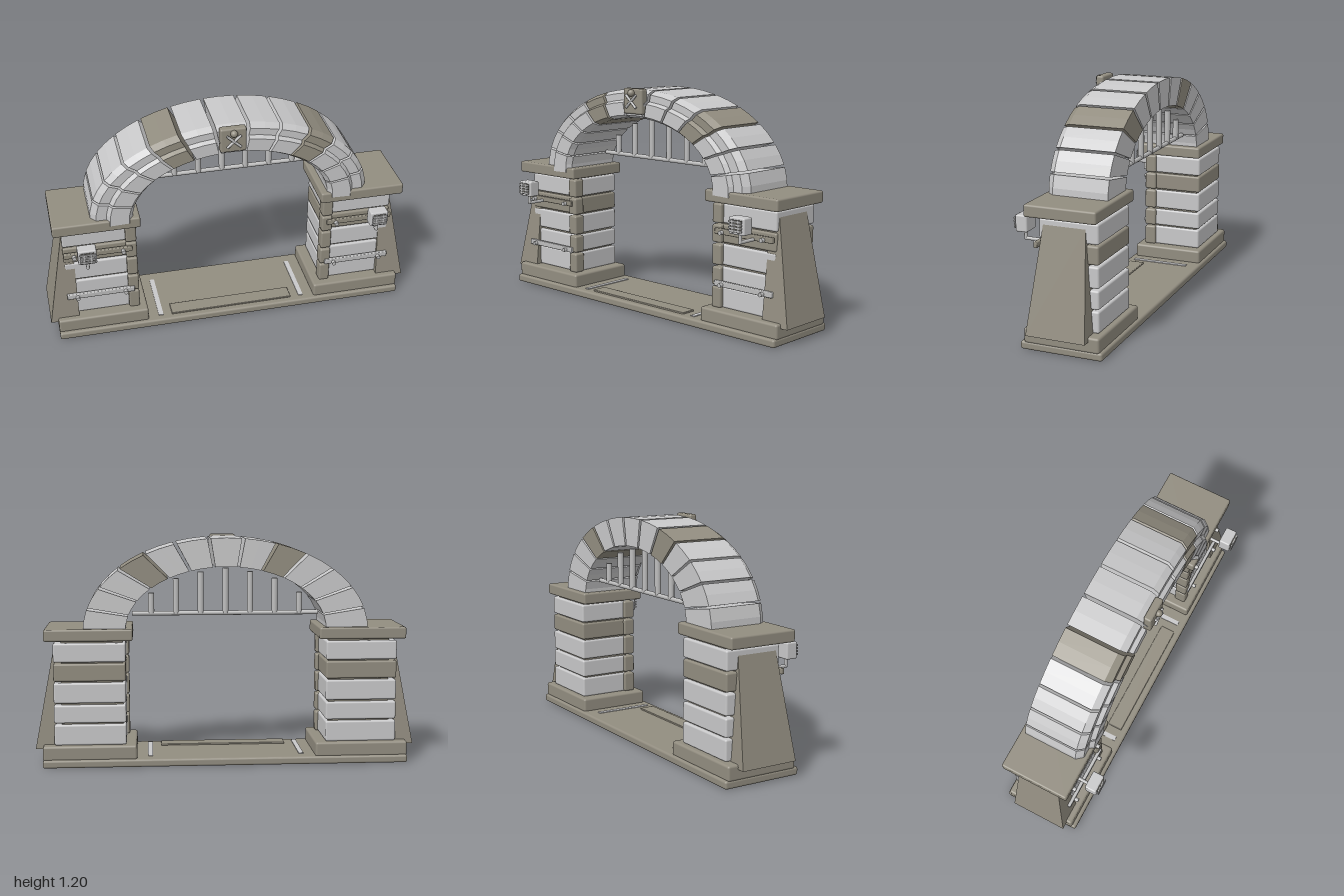
import * as THREE from 'three';
import { RoundedBoxGeometry } from 'three/addons/geometries/RoundedBoxGeometry.js';

const mat = (name, color) => Object.assign(new THREE.MeshStandardMaterial({ color }), { name });
const lightStone = mat('lightStone', 0xc8c8c9);
const tanStone = mat('tanStone', 0x928d80);
const metal = mat('metal', 0xbebebe);
const darkIron = mat('darkIron', 0x6a6861);

function add(parent, name, geometry, material, x = 0, y = 0, z = 0) {
  const mesh = new THREE.Mesh(geometry, material);
  mesh.name = name;
  mesh.position.set(x, y, z);
  parent.add(mesh);
  return mesh;
}

// Box given by its limits, with softened edges when r > 0
function block(parent, name, material, x0, x1, y0, y1, z0, z1, r = 0) {
  const size = [x1 - x0, y1 - y0, z1 - z0];
  const geometry = r ? new RoundedBoxGeometry(...size, 2, r) : new THREE.BoxGeometry(...size);
  return add(parent, name, geometry, material, (x0 + x1) / 2, (y0 + y1) / 2, (z0 + z1) / 2);
}

// Round bar between two points
function rod(parent, name, material, a, b, r) {
  const from = new THREE.Vector3(...a), to = new THREE.Vector3(...b);
  const dir = to.clone().sub(from);
  const mesh = add(parent, name, new THREE.CylinderGeometry(r, r, dir.length(), 12), material);
  mesh.position.copy(from).add(to).multiplyScalar(0.5);
  mesh.quaternion.setFromUnitVectors(new THREE.Vector3(0, 1, 0), dir.normalize());
  return mesh;
}

// Arch stone: a stepped section (z, inner 0 to outer 1) swept along the elliptical arch
const SECTION = [[-0.2, 0], [0.12, 0], [0.148, 0.1], [0.148, 0.55], [0.125, 0.63],
  [0.125, 0.87], [0.09, 1], [-0.2, 1]].map(([z, s]) => new THREE.Vector2(z, s));

function archPoint(theta, { x: z, y: s }) {
  const a = THREE.MathUtils.lerp(0.525, 0.745, s);
  const b = THREE.MathUtils.lerp(0.33, 0.48, s);
  return [a * Math.cos(theta), 0.71 + b * Math.sin(theta), z];
}

function voussoirGeometry(t0, t1) {
  const steps = 2, n = SECTION.length, pos = [];
  const rings = [];
  for (let k = 0; k <= steps; k++) {
    rings.push(SECTION.map(p => archPoint(t0 + (t1 - t0) * k / steps, p)));
  }
  const tri = (a, b, c) => pos.push(...a, ...b, ...c);
  for (let k = 0; k < steps; k++) {
    for (let i = 0; i < n; i++) {
      const j = (i + 1) % n;
      tri(rings[k][i], rings[k][j], rings[k + 1][j]);
      tri(rings[k][i], rings[k + 1][j], rings[k + 1][i]);
    }
  }
  for (const [a, b, c] of THREE.ShapeUtils.triangulateShape(SECTION, [])) {
    tri(rings[steps][a], rings[steps][b], rings[steps][c]);
    tri(rings[0][a], rings[0][c], rings[0][b]);
  }
  const g = new THREE.BufferGeometry();
  g.setAttribute('position', new THREE.Float32BufferAttribute(pos, 3));
  g.computeVertexNormals();
  return g;
}

// Sloping side support, narrower at the top
function buttressGeometry(side) {
  const g = new THREE.BoxGeometry(1, 1, 1).toNonIndexed();
  const p = g.attributes.position;
  for (let i = 0; i < p.count; i++) {
    const top = p.getY(i) > 0, front = p.getZ(i) > 0;
    const outer = p.getX(i) * side > 0;
    p.setXYZ(i, side * (outer ? (top ? 0.9 : 1) : 0.845), top ? 0.62 : 0.09,
      front ? (top ? 0.065 : 0.12) : (top ? -0.155 : -0.19));
  }
  g.computeVertexNormals();
  return g;
}

function createPier(side) {
  const pier = new THREE.Group();
  pier.name = side > 0 ? 'leftPier' : 'rightPier';
  // Limits are given for the +x side and mirrored
  const part = (name, m, x0, x1, ...rest) =>
    block(pier, name, m, ...(side > 0 ? [x0, x1] : [-x1, -x0]), ...rest);

  part('pierBase', tanStone, 0.47, 0.96, 0.035, 0.113, -0.245, 0.15, 0.012);
  part('pierCap', tanStone, 0.488, 0.947, 0.66, 0.722, -0.228, 0.145, 0.01);
  part('pierCore', tanStone, 0.54, 0.86, 0.1, 0.67, -0.2, 0.07);

  // Stone courses with corner stones on the inner front edge
  const courses = [[0.113, 0.222], [0.23, 0.325], [0.335, 0.442], [0.45, 0.543], [0.55, 0.65]];
  courses.forEach(([y0, y1], i) => {
    part('course', i === 3 ? tanStone : lightStone, 0.525, 0.9, y0, y1, -0.22, 0.087, 0.01);
    part('cornerStone', tanStone, 0.51, 0.568, y0, y1, 0.045, 0.11, 0.01);
  });
  add(pier, 'buttress', buttressGeometry(side), tanStone);

  // Straps and bolts
  for (const [y, m] of [[0.512, tanStone], [0.243, metal]]) {
    part('strap', m, 0.535, 0.9, y - 0.015, y + 0.015, 0.1, 0.12, 0.005);
    for (const x of [0.585, 0.845]) {
      rod(pier, 'bolt', metal, [side * x, y - 0.003, 0.115], [side * x, y - 0.003, 0.14], 0.011);
    }
  }

  // Lamp on a bent arm
  const lx = side * 0.783;
  rod(pier, 'lampArm', metal, [lx, 0.503, 0.11], [lx, 0.503, 0.222], 0.009);
  rod(pier, 'lampStem', metal, [lx, 0.498, 0.218], [lx, 0.55, 0.218], 0.009);
  part('lampBox', lightStone, 0.735, 0.832, 0.545, 0.63, 0.187, 0.25, 0.008);
  part('lampGrillBack', darkIron, 0.75, 0.817, 0.558, 0.617, 0.249, 0.256);
  for (let i = 0; i < 4; i++) {
    const y = 0.565 + i * 0.015;
    part('lampGrillBar', metal, 0.743, 0.823, y - 0.0045, y + 0.0045, 0.255, 0.262);
  }
  for (const x of [0.765, 0.802]) {
    part('lampGrillUpright', metal, x - 0.004, x + 0.004, 0.555, 0.622, 0.255, 0.261);
  }
  return pier;
}

export function createModel() {
  const model = new THREE.Group();
  model.name = 'stoneGateway';

  // Floor slab with step plate and light inlays
  block(model, 'floorSlab', tanStone, -0.96, 0.96, 0, 0.042, -0.26, 0.17, 0.012);
  block(model, 'stepPlate', tanStone, -0.34, 0.34, 0.04, 0.051, 0.05, 0.135, 0.004);
  for (const side of [1, -1]) {
    block(model, 'floorInlay', lightStone, side * 0.4 - 0.013, side * 0.4 + 0.013, 0.038, 0.046, -0.19, 0.13);
    model.add(createPier(side));
  }

  // Arch ring
  const arch = new THREE.Group();
  arch.name = 'arch';
  model.add(arch);
  const count = 13, step = Math.PI / count, gap = 0.012;
  for (let i = 0; i < count; i++) {
    const t0 = i === 0 ? -0.04 : i * step + gap;
    const t1 = i === count - 1 ? Math.PI + 0.04 : (i + 1) * step - gap;
    add(arch, 'archStone', voussoirGeometry(t0, t1), i === 3 || i === 8 ? tanStone : lightStone);
  }

  // Keystone plaque with ball and crossed rods
  block(model, 'keystonePlaque', tanStone, -0.068, 0.068, 1.063, 1.197, 0.12, 0.163, 0.01);
  add(model, 'plaqueBall', new THREE.SphereGeometry(0.019, 16, 12), tanStone, 0, 1.174, 0.172);
  for (const s of [1, -1]) {
    rod(model, 'crossedRod', metal, [-0.036 * s, 1.097, 0.174], [0.036 * s, 1.163, 0.174], 0.007);
  }

  // Grille hanging under the arch
  const gz = -0.12;
  rod(model, 'grilleRail', metal, [-0.49, 0.793, gz], [0.49, 0.793, gz], 0.012);
  [1.03, 1.01, 0.975, 0.9].forEach((top, i) => {
    for (const s of i ? [1, -1] : [1]) {
      rod(model, 'grilleBar', metal, [s * i * 0.13, 0.793, gz], [s * i * 0.13, top, gz], 0.016);
    }
  });
  return model;
}
